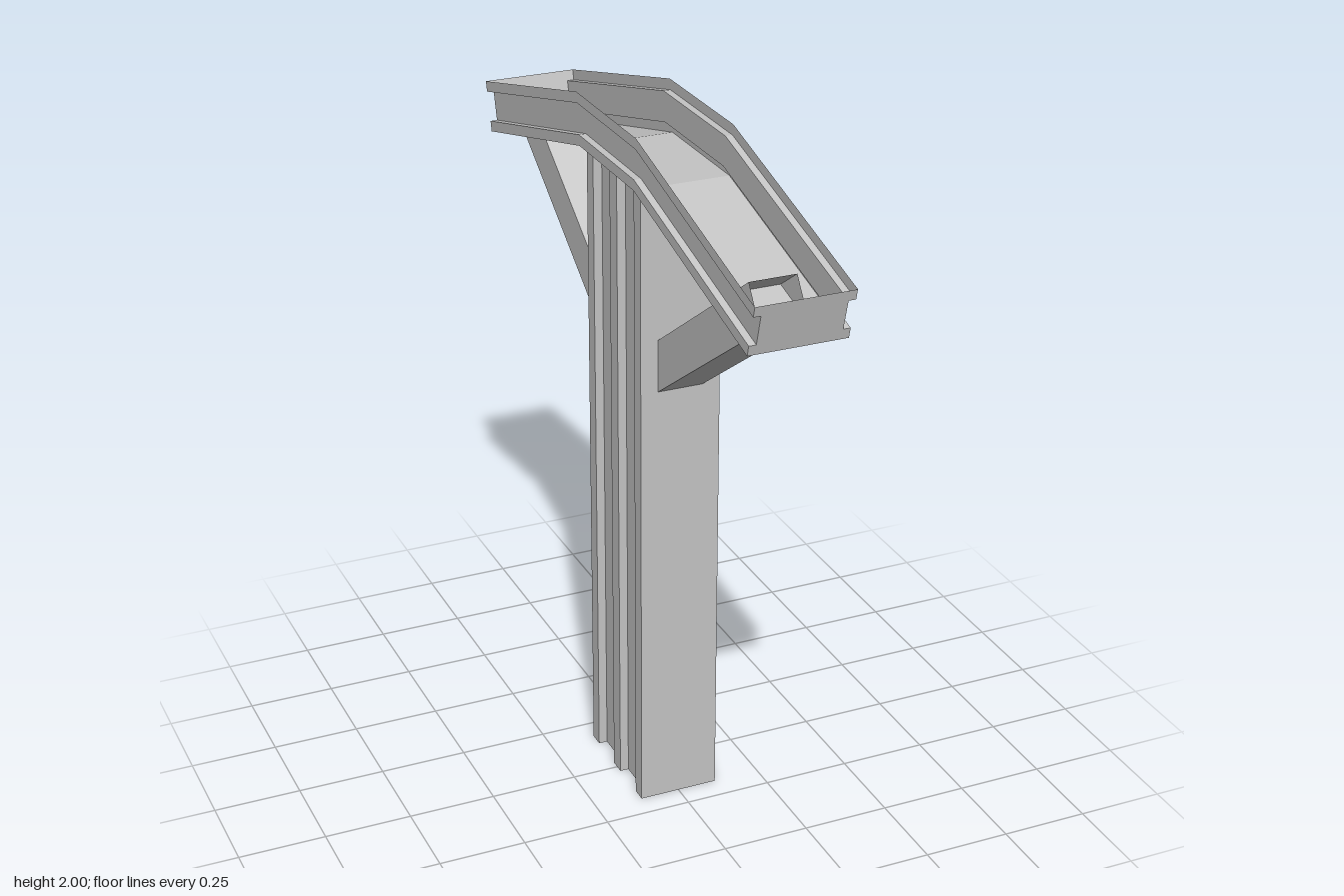
import * as THREE from 'three';

const steel = new THREE.MeshStandardMaterial({ color: 0xc4c4c4, side: THREE.DoubleSide });
steel.name = 'grey steel';

// Folded sheet: flat quads between successive cross-sections of [x, y, z] points
function sheet(name, rings, closed) {
  const pos = [];
  for (let r = 0; r < rings.length - 1; r++) {
    const a = rings[r], b = rings[r + 1], n = a.length;
    for (let i = 0; i < (closed ? n : n - 1); i++) {
      const j = (i + 1) % n;
      pos.push(...a[i], ...a[j], ...b[j], ...a[i], ...b[j], ...b[i]);
    }
  }
  const geometry = new THREE.BufferGeometry();
  geometry.setAttribute('position', new THREE.Float32BufferAttribute(pos, 3));
  geometry.computeVertexNormals();
  const mesh = new THREE.Mesh(geometry, steel);
  mesh.name = name;
  return mesh;
}

// Hollow column with two grooves pressed into each side
function makeColumn() {
  const w = 0.115, g = 0.09;
  const side = [[w, 0.18], [w, 0.137], [g, 0.137], [g, 0.024], [w, 0.024],
    [w, -0.024], [g, -0.024], [g, -0.137], [w, -0.137], [w, -0.18]];
  const outline = [...side, ...side.map(([x, z]) => [-x, -z])];
  return sheet('column', [0, 1.855].map(y => outline.map(([x, z]) => [x, y, z])), true);
}

// Open-topped channel, bent down at both ends and closed with end plates
function makeBeam() {
  const beam = new THREE.Group();
  beam.name = 'channelBeam';
  const half = [[0.135, 0], [0.135, 0.03], [0.115, 0.03], [0.115, 0.115], [0.135, 0.115], [0.135, 0.145]];
  const profile = [...half, ...half.map(([x, d]) => [-x, d]).reverse()];
  const angle = Math.atan2(0.185, 0.7);
  // Each station: top z, top y, then the z and y change per unit of depth
  const end = [0.9, 1.815, -Math.sin(angle), -Math.cos(angle)];
  const bend = [0.2, 2, -Math.tan(angle / 2), -1];
  const flip = ([z, y, dz, dy]) => [-z, y, -dz, dy];
  const place = ([z, y, dz, dy], x, d) => [x, y + dy * d, z + dz * d];
  const stations = [flip(end), flip(bend), bend, end];
  beam.add(sheet('channel', stations.map(s => profile.map(([x, d]) => place(s, x, d))), false));

  for (const [name, station] of [['frontEndPlate', end], ['backEndPlate', flip(end)]]) {
    const shape = new THREE.Shape(profile.map(([x, d]) => new THREE.Vector2(x, -d)));
    const geometry = new THREE.ShapeGeometry(shape);
    const p = geometry.attributes.position;
    for (let i = 0; i < p.count; i++) p.setXYZ(i, ...place(station, p.getX(i), -p.getY(i)));
    if (station[0] < 0) geometry.index.array.reverse();
    geometry.computeVertexNormals();
    const plate = new THREE.Mesh(geometry, steel);
    plate.name = name;
    beam.add(plate);
  }
  return beam;
}

// Open rectangular tube from the column up through the channel floor
function makeBrace(name, s) {
  const w = 0.065;
  const ring = (topY, topZ, lowY, lowZ) =>
    [[w * s, topY, topZ * s], [-w * s, topY, topZ * s], [-w * s, lowY, lowZ * s], [w * s, lowY, lowZ * s]];
  return sheet(name, [ring(1.425, 0.18, 1.275, 0.18), ring(1.798, 0.72, 1.697, 0.79)], true);
}

export function createModel() {
  const model = new THREE.Group();
  model.name = 'supportPost';
  model.add(makeColumn(), makeBeam(), makeBrace('frontBrace', 1), makeBrace('backBrace', -1));
  return model;
}
